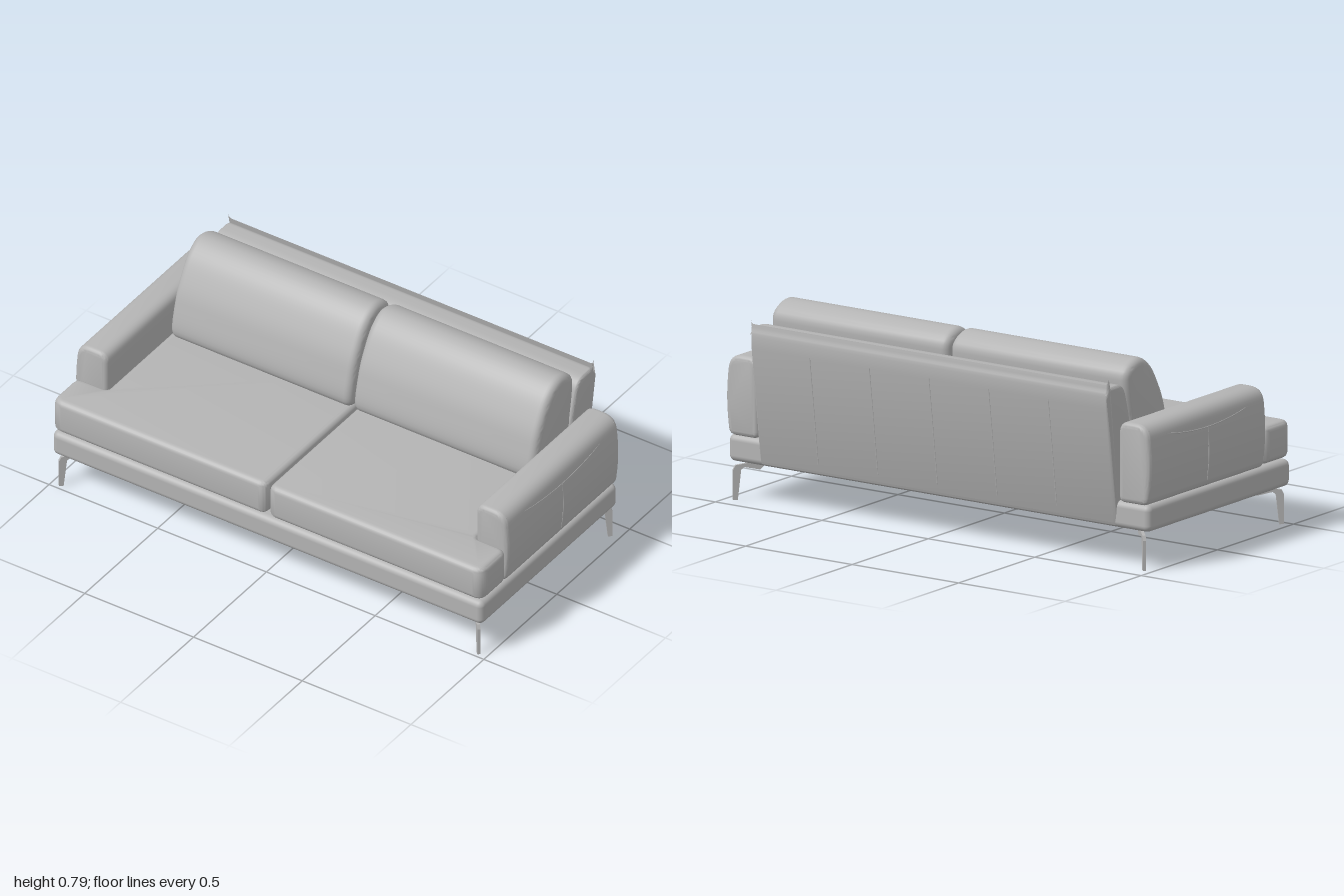
import * as THREE from 'three';
import { toCreasedNormals } from 'three/addons/utils/BufferGeometryUtils.js';
import { RoundedBoxGeometry } from 'three/addons/geometries/RoundedBoxGeometry.js';

// Closed outline from [a, b, cornerRadius] points
function roundedShape(points) {
  const shape = new THREE.Shape();
  const n = points.length;
  points.forEach(([x, y, r], i) => {
    const p = new THREE.Vector2(x, y);
    const towards = (q) => new THREE.Vector2(q[0], q[1]).sub(p).setLength(r).add(p);
    const a = towards(points[(i + n - 1) % n]);
    const b = towards(points[(i + 1) % n]);
    if (i === 0) shape.moveTo(a.x, a.y); else shape.lineTo(a.x, a.y);
    shape.quadraticCurveTo(x, y, b.x, b.y);
  });
  shape.closePath();
  return shape;
}

// Soft padded slab: the outline swept over a full thickness, with rounded rims
function padded(shape, thickness, rim) {
  const geo = new THREE.ExtrudeGeometry(shape, {
    depth: thickness - 2 * rim, bevelThickness: rim, bevelSize: rim,
    bevelOffset: -rim, bevelSegments: 5, curveSegments: 8,
  });
  geo.translate(0, 0, rim - thickness / 2);
  return toCreasedNormals(geo, 0.6);
}

export function createModel() {
  const group = new THREE.Group();
  group.name = 'sofa';
  const fabric = new THREE.MeshStandardMaterial({ color: 0xb4b4b4 });
  fabric.name = 'grey upholstery';

  const add = (name, geo, x = 0, y = 0, z = 0) => {
    const mesh = new THREE.Mesh(geo, fabric);
    mesh.name = name;
    mesh.position.set(x, y, z);
    group.add(mesh);
    return mesh;
  };
  const seam = (name, points) => {
    const curve = new THREE.CatmullRomCurve3(points.map((p) => new THREE.Vector3(...p)));
    add(name, new THREE.TubeGeometry(curve, 24, 0.0025, 6));
  };

  // Base platform
  add('base', new RoundedBoxGeometry(1.98, 0.107, 0.935, 4, 0.025), 0, 0.2035, 0.0325);

  // Leaning back panel, profile in (z, y)
  const backProfile = roundedShape([
    [-0.434, 0.155, 0.015], [-0.502, 0.675, 0.05], [-0.495, 0.712, 0.025],
    [-0.385, 0.712, 0.05], [-0.345, 0.57, 0.05], [-0.3, 0.155, 0.03],
  ]);
  add('backPanel', padded(backProfile, 1.68, 0.015).rotateY(-Math.PI / 2));
  for (let i = -2; i <= 2; i++) {
    seam('backSeam', [[i * 0.28, 0.2, -0.4395], [i * 0.28, 0.63, -0.4955]]);
  }

  // Back cushion profile in (z, y)
  const cushionCurve = new THREE.CatmullRomCurve3([
    [-0.087, 0.42], [-0.103, 0.57], [-0.142, 0.665], [-0.2, 0.75], [-0.265, 0.787],
    [-0.33, 0.773], [-0.366, 0.74], [-0.368, 0.69], [-0.35, 0.57], [-0.32, 0.42], [-0.2, 0.395],
  ].map(([z, y]) => new THREE.Vector3(z, y, 0)), true);
  const cushionProfile = new THREE.Shape(
    cushionCurve.getSpacedPoints(64).slice(0, 64).map((p) => new THREE.Vector2(p.x, p.y)),
  );

  for (const s of [1, -1]) {
    const side = s > 0 ? 'left' : 'right';

    // Seat cushion wrapping round the front of the arm, plan in (x, z)
    const seatPlan = roundedShape([
      [s * 0.005, 0.5, 0.035], [s * 0.99, 0.5, 0.045], [s * 0.99, 0.325, 0.035],
      [s * 0.85, 0.325, 0.02], [s * 0.85, -0.36, 0.04], [s * 0.005, -0.36, 0.035],
    ]);
    add(side + 'SeatCushion', padded(seatPlan, 0.148, 0.024).rotateX(Math.PI / 2), 0, 0.338, 0);

    // Back cushion
    add(side + 'BackCushion', padded(cushionProfile, 0.832, 0.03).rotateY(-Math.PI / 2), s * 0.421, 0, 0);

    // Armrest, section in (x, y)
    const armSection = roundedShape([
      [s * 0.848, 0.255, 0.025], [s * 0.985, 0.255, 0.03], [s * 1.001, 0.4, 0.08],
      [s * 0.985, 0.573, 0.06], [s * 0.848, 0.573, 0.045],
    ]);
    add(side + 'Arm', padded(armSection, 0.772, 0.02), 0, 0, -0.054);

    // Arm seams: curved panel edge and upright join
    seam(side + 'ArmTopSeam', [
      [s * 0.977, 0.549, 0.315], [s * 0.988, 0.518, 0.2], [s * 0.991, 0.497, 0.03],
      [s * 0.991, 0.497, -0.13], [s * 0.988, 0.518, -0.3], [s * 0.977, 0.549, -0.423],
    ]);
    seam(side + 'ArmSideSeam', [
      [s * 0.988, 0.285, -0.05], [s * 0.995, 0.35, -0.05], [s * 0.997, 0.4, -0.05],
      [s * 0.995, 0.44, -0.05], [s * 0.991, 0.495, -0.05],
    ]);
  }

  // Thin bent legs set diagonally at each corner, profile in (outward, y)
  const legProfile = new THREE.Shape([
    [-0.115, 0.152], [-0.115, 0.135], [-0.095, 0.116], [-0.035, 0.128], [-0.022, 0.118],
    [-0.009, 0], [0.009, 0], [0.024, -0.0], [0.024, 0.0],
  ].slice(0, 7).concat([[0.009, 0.118], [0.0, 0.136], [-0.045, 0.143], [-0.045, 0.152]])
    .map(([u, y]) => new THREE.Vector2(u, y)));
  const legGeo = new THREE.ExtrudeGeometry(legProfile, { depth: 0.012, bevelEnabled: false });
  legGeo.translate(0, 0, -0.006);
  for (const sx of [1, -1]) {
    for (const [name, z] of [['front', 0.477], ['back', -0.425]]) {
      const leg = add(name + (sx > 0 ? 'Left' : 'Right') + 'Leg', legGeo, sx * 0.96, 0, z);
      leg.rotation.y = Math.atan2(-Math.sign(z), sx);
    }
  }
  return group;
}
